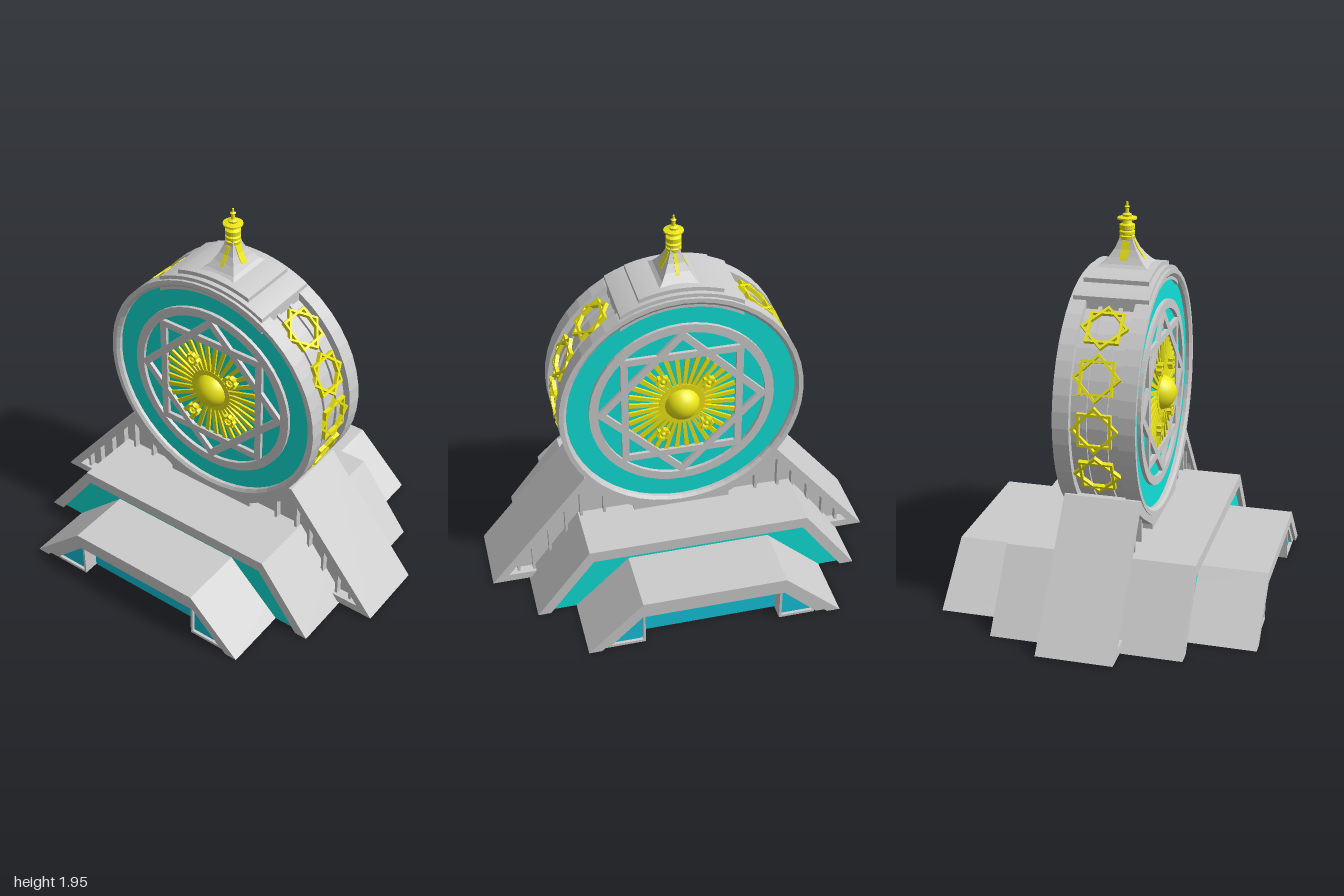
import * as THREE from 'three';

const mat = (color, flatShading = false) => new THREE.MeshStandardMaterial({ color, flatShading });
const GREY = mat(0xcccccc, true);
const CYAN = mat(0x10e0d8);
const BLUE = mat(0x14c4dc);
const GOLD = mat(0xece614);
const CX = 0.02, CY = 0.995, R = 0.615; // wheel centre and radius

function add(parent, name, geometry, material) {
  const mesh = new THREE.Mesh(geometry, material);
  mesh.name = name;
  parent.add(mesh);
  return mesh;
}

const poly = (pts) => new THREE.Shape(pts.map(([a, b]) => new THREE.Vector2(a, b)));

// Extrudes a (z, y) outline along x, from x0 to x1
function slab(shape, x0, x1) {
  return new THREE.ExtrudeGeometry(shape, { depth: x1 - x0, bevelEnabled: false, curveSegments: 24 })
    .rotateY(-Math.PI / 2).translate(x1, 0, 0);
}

// Square outline with outer half-width h and bar width w
function squareRing(h, w) {
  const sq = (k) => [[-k, -k], [k, -k], [k, k], [-k, k]];
  const shape = poly(sq(h));
  shape.holes.push(poly(sq(h - w)));
  return shape;
}

// Two crossed squares lying in the zy plane
function star(parent, name, h, w, x0, x1, material) {
  const group = new THREE.Group();
  group.name = name;
  for (const a of [0, Math.PI / 4]) add(group, name + 'Square', slab(squareRing(h, w), x0, x1).rotateX(a), material);
  parent.add(group);
  return group;
}

// Slanted arch: outer trapezoid with an inner one cut out of the bottom
const arch = (outer, inner) => poly([...outer, ...[...inner].reverse()]);

function addBase(root) {
  const base = new THREE.Group();
  base.name = 'base';
  root.add(base);

  // Middle tier
  const mid = [[0.81, 0], [0.535, 0.36], [-0.59, 0.36], [-0.86, 0]];
  const midIn = [[0.745, 0], [0.515, 0.3], [-0.57, 0.3], [-0.79, 0]];
  add(base, 'middleTierFrame', slab(arch(mid, midIn), -0.47, 0.47), GREY);
  add(base, 'middleTierGlazing', slab(poly(midIn), -0.445, 0.445), [CYAN, GREY]);

  // Low tier
  const low = [[0.61, 0], [0.335, 0.265], [-0.39, 0.265], [-0.68, 0]];
  const lowIn = [[0.545, 0], [0.325, 0.21], [-0.38, 0.21], [-0.615, 0]];
  const lowDoor = [[0.505, 0], [0.335, 0.167], [-0.385, 0.167], [-0.56, 0]];
  add(base, 'lowTierFrame', slab(arch(low, lowIn), -0.785, 0.785), GREY);
  add(base, 'lowTierInnerFrame', slab(arch(lowIn, lowDoor), -0.77, 0.77), GREY);
  add(base, 'lowTierGlazing', slab(poly(lowDoor), -0.69, 0.69), [BLUE, GREY]);
  for (const s of [-1, 1]) {
    const a = s * 0.69, b = s * 0.755;
    for (const tri of [[[0.505, 0], [0.335, 0.167], [0.335, 0]], [[-0.375, 0], [-0.375, 0.167], [-0.56, 0]]]) {
      add(base, 'sideWindow', slab(poly(tri), Math.min(a, b), Math.max(a, b)), [BLUE, GREY]);
    }
    for (const z of [0.328, -0.37]) {
      add(base, 'doorPier', new THREE.BoxGeometry(0.08, 0.17, 0.012).translate(s * 0.73, 0.085, z), GREY);
    }
    for (const [z, len] of [[0.42, 0.18], [-0.46, 0.18]]) {
      add(base, 'windowSill', new THREE.BoxGeometry(0.08, 0.014, len).translate(s * 0.73, 0.007, z), GREY);
    }
  }

  // Buttress with recessed ribbed side panels
  const buttress = (inset) => {
    const s = new THREE.Shape();
    s.moveTo(-1 + inset, 0.01);
    s.lineTo(1 - inset, 0.01);
    s.lineTo(0.5 - inset * 0.2, 0.615 - inset * 0.5);
    s.absarc(0, CY, 0.6, -0.69, -Math.PI + 0.69, true);
    s.lineTo(-0.5 + inset * 0.2, 0.615 - inset * 0.5);
    return s;
  };
  const frame = buttress(0);
  for (const s of [-1, 1]) {
    frame.holes.push(poly([[0.915, 0.05], [0.505, 0.55], [0.42, 0.49], [0.25, 0.385], [0.25, 0.05]].map(([z, y]) => [s * z, y])));
  }
  add(base, 'buttressFrame', slab(frame, -0.175, 0.2), GREY);
  add(base, 'buttressCore', slab(buttress(0.05), -0.125, 0.15), GREY);
  for (const s of [-1, 1]) {
    for (const z of [0.86, 0.78, 0.69, 0.6, 0.52, 0.4]) {
      const top = Math.min(0.05 + (0.925 - z) * 1.22, z < 0.5 ? 0.49 : 1);
      add(base, 'buttressRib', new THREE.BoxGeometry(0.34, top - 0.04, 0.014).translate(0.0125, (top + 0.04) / 2, s * z), GREY);
    }
  }
}

// One decorated side of the wheel, facing +x
function wheelFace() {
  const face = new THREE.Group();
  face.name = 'wheelFace';
  const ring = (pts) => new THREE.LatheGeometry(pts.map(([r, h]) => new THREE.Vector2(r, h)), 48).rotateZ(-Math.PI / 2);
  add(face, 'rim', ring([[0.56, 0.12], [R, 0.12], [R, 0.2], [0.592, 0.2], [0.577, 0.188], [0.577, 0.165]]), GREY);
  add(face, 'innerRing', ring([[0.465, 0.165], [0.465, 0.188], [0.42, 0.188], [0.42, 0.165]]), GREY);
  star(face, 'lattice', 0.305, 0.036, 0.165, 0.188, GREY);

  // Sunburst clipped to an octagon
  const step = Math.PI / 4;
  for (let i = 0; i < 32; i++) {
    const a = (i + 0.5) * Math.PI / 16;
    const off = a - Math.round(a / step) * step;
    const len = 0.266 / Math.cos(off);
    const ray = poly([[0.08, -0.008], [len, -0.0115], [len, 0.0115], [0.08, 0.008]]);
    add(face, 'sunRay', slab(ray, 0.165, 0.182).rotateX(a), GOLD);
  }
  add(face, 'sunDisc', new THREE.CylinderGeometry(0.115, 0.115, 0.02, 32).rotateZ(Math.PI / 2).translate(0.174, 0, 0), GOLD);
  add(face, 'sunDome', new THREE.SphereGeometry(0.09, 32, 20).translate(0.162, 0, 0), GOLD);
  for (const [z, y] of [[0.1, 0.155], [-0.13, 0.115], [0.1, -0.16], [-0.12, -0.13]]) {
    const rosette = star(face, 'rosette', 0.026, 0.007, 0.175, 0.206, GOLD);
    rosette.position.set(0, y, z);
    add(rosette, 'rosetteBud', new THREE.SphereGeometry(0.012, 10, 8).translate(0.196, 0, 0), GOLD);
  }
  return face;
}

function addWheel(root) {
  const wheel = new THREE.Group();
  wheel.name = 'wheel';
  wheel.position.set(CX, CY, 0);
  root.add(wheel);
  add(wheel, 'drum', new THREE.CylinderGeometry(0.58, 0.58, 0.34, 48).rotateZ(Math.PI / 2), [GREY, CYAN, CYAN]);
  for (const x of [-0.05, 0.05]) {
    add(wheel, 'treadRib', new THREE.CylinderGeometry(0.592, 0.592, 0.02, 48).rotateZ(Math.PI / 2).translate(x, 0, 0), GREY);
  }
  const right = wheelFace(), left = wheelFace();
  left.rotation.y = Math.PI;
  wheel.add(right, left);

  // Gold stars along the front and back of the tread
  for (const s of [0, Math.PI]) {
    for (let i = -1; i <= 2; i++) {
      const holder = new THREE.Group();
      holder.name = 'treadStar';
      for (const a of [0, Math.PI / 4]) {
        const g = new THREE.ExtrudeGeometry(squareRing(0.083, 0.012), { depth: 0.02, bevelEnabled: false });
        add(holder, 'treadStarSquare', g.rotateZ(a).translate(0, 0, 0.59), GOLD);
      }
      holder.rotation.set(-i * 0.412, s, 0, 'YXZ');
      wheel.add(holder);
    }
  }

  // Stepped saddle over the crown
  for (const [r, z, w] of [[0.632, 0.3, 0.185], [0.652, 0.205, 0.16]]) {
    const a = Math.acos(z / r);
    const shape = new THREE.Shape();
    shape.absarc(0, 0, r, a, Math.PI - a, false);
    shape.absarc(0, 0, 0.56, Math.PI - Math.acos(z / 0.56), Math.acos(z / 0.56), true);
    add(wheel, 'saddle', slab(shape, -w, w), GREY);
  }
}

function addSpire(root) {
  const spire = new THREE.Group();
  spire.name = 'spire';
  spire.position.x = CX;
  root.add(spire);
  const profile = [[0.135, 1.635], [0.105, 1.655], [0.078, 1.685], [0.054, 1.72], [0.036, 1.76], [0.025, 1.8]];
  const pts = profile.map(([r, y]) => new THREE.Vector2(r * Math.SQRT2, y));
  add(spire, 'flaredBase', new THREE.LatheGeometry(pts, 4, Math.PI / 4).scale(1, 1, 0.76), GREY);

  // Gold strips running up the four flared sides
  const side = profile.slice(2, 5).map(([r, y]) => [r + 0.004, y]);
  const fin = poly([[0, 1.665], [0.094, 1.665], ...side, [0, 1.76]]);
  for (let i = 0; i < 4; i++) {
    const w = i % 2 ? 0.01 : 0.02;
    const strip = add(spire, 'goldStrip', slab(fin, -w, w), GOLD);
    strip.geometry.scale(1, 1, i % 2 ? 1 : 0.76);
    strip.rotation.y = i * Math.PI / 2;
  }

  // Stacked finial
  const f = [[0, 1.765], [0.036, 1.765], [0.038, 1.78], [0.028, 1.785], [0.038, 1.79], [0.038, 1.803], [0.028, 1.808],
    [0.038, 1.813], [0.038, 1.835], [0.024, 1.842], [0.02, 1.855], [0.048, 1.862], [0.048, 1.87], [0.022, 1.876],
    [0.024, 1.885], [0.01, 1.892], [0.008, 1.915], [0.014, 1.922], [0.006, 1.928], [0.005, 1.945], [0, 1.948]];
  const finial = mat(0xece614, true);
  add(spire, 'finial', new THREE.LatheGeometry(f.map(([r, y]) => new THREE.Vector2(r, y)), 20), finial);
}

export function createModel() {
  const root = new THREE.Group();
  root.name = 'monument';
  addBase(root);
  addWheel(root);
  addSpire(root);
  return root;
}
